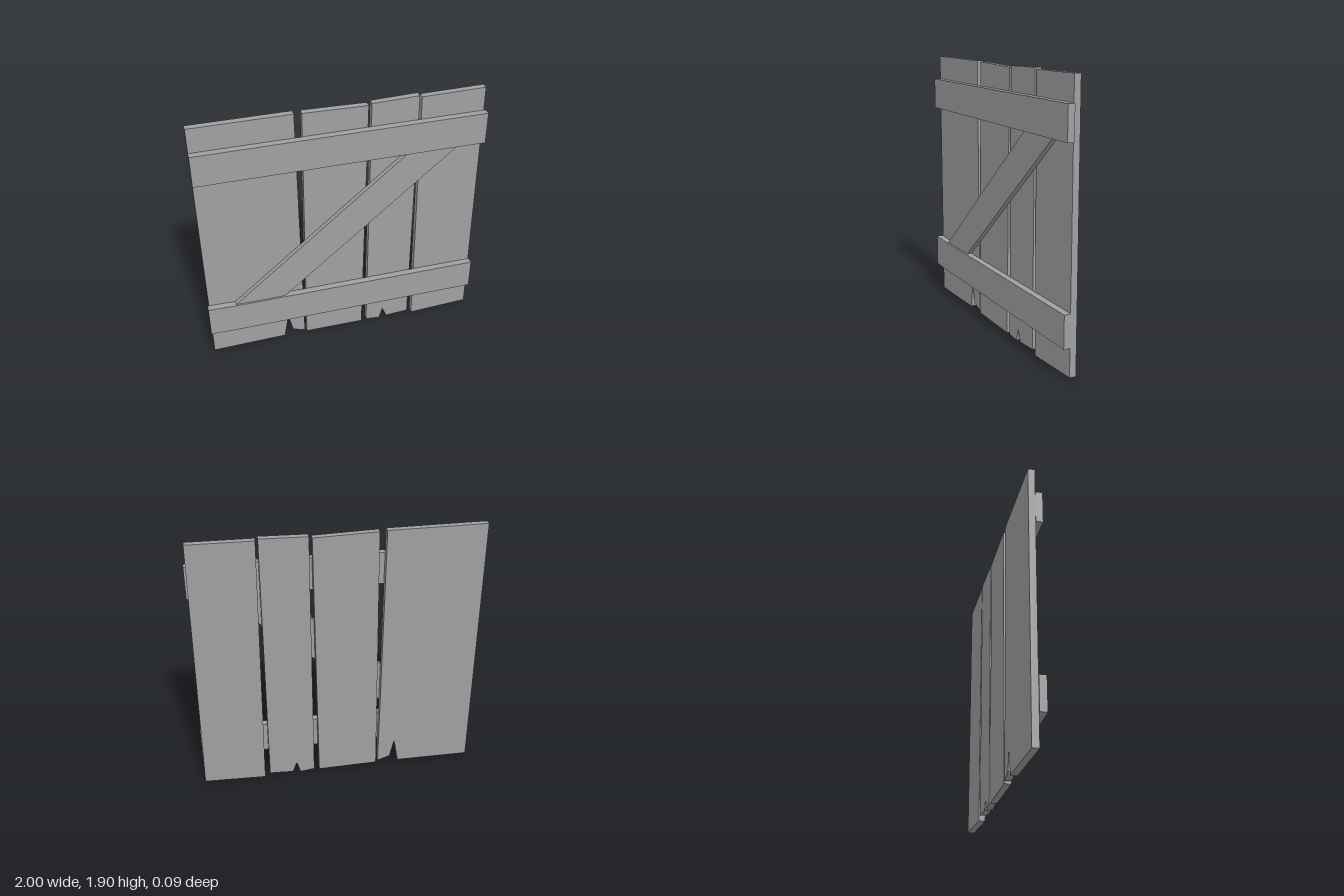
import * as THREE from 'three';

const PLANK_Z = -0.047, PLANK_T = 0.046, RAIL_T = 0.048, BRACE_T = 0.035;

// A board: a flat outline in x,y given thickness along z
function board(name, outline, z, thickness, material) {
  const shape = new THREE.Shape(outline.map(([x, y]) => new THREE.Vector2(x, y)));
  const geometry = new THREE.ExtrudeGeometry(shape, { depth: thickness, bevelEnabled: false });
  geometry.translate(0, 0, z);
  const mesh = new THREE.Mesh(geometry, material);
  mesh.name = name;
  return mesh;
}

export function createModel() {
  const group = new THREE.Group();
  group.name = 'plankGate';
  const wood = new THREE.MeshStandardMaterial({ color: 0xa0a0a0 });
  wood.name = 'greyWood';

  // Upright planks, slightly crooked, two of them split at the foot
  const planks = [
    [[-0.987, 0.013], [-0.452, 0.021], [-0.42, 0.206], [-0.388, 0.067], [-0.297, 0.035], [-0.318, 1.9], [-1, 1.9]],
    [[-0.283, 0.021], [0.15, 0.016], [0.174, 1.885], [-0.267, 1.896]],
    [[0.187, 0.024], [0.291, 0.011], [0.318, 0.099], [0.348, 0.019], [0.519, 0.029], [0.521, 1.904], [0.195, 1.896]],
    [[0.556, 0], [0.997, 0.019], [0.984, 1.898], [0.537, 1.893]],
  ];
  planks.forEach((outline, i) => group.add(board(`plank${i + 1}`, outline, PLANK_Z, PLANK_T, wood)));

  // Cross rails on the front
  const railZ = PLANK_Z + PLANK_T;
  group.add(board('topRail', [[-1, 1.503], [1, 1.497], [1, 1.727], [-1, 1.727]], railZ, RAIL_T, wood));
  group.add(board('bottomRail', [[-1, 0.225], [-0.86, 0.219], [1, 0.216], [1, 0.441], [-0.8, 0.449], [-1, 0.455]], railZ, RAIL_T, wood));

  // Diagonal brace between the rails, thinner than they are
  group.add(board('diagonalBrace', [[-0.8, 0.449], [-0.441, 0.447], [0.805, 1.498], [0.447, 1.499]], railZ, BRACE_T, wood));

  return group;
}
